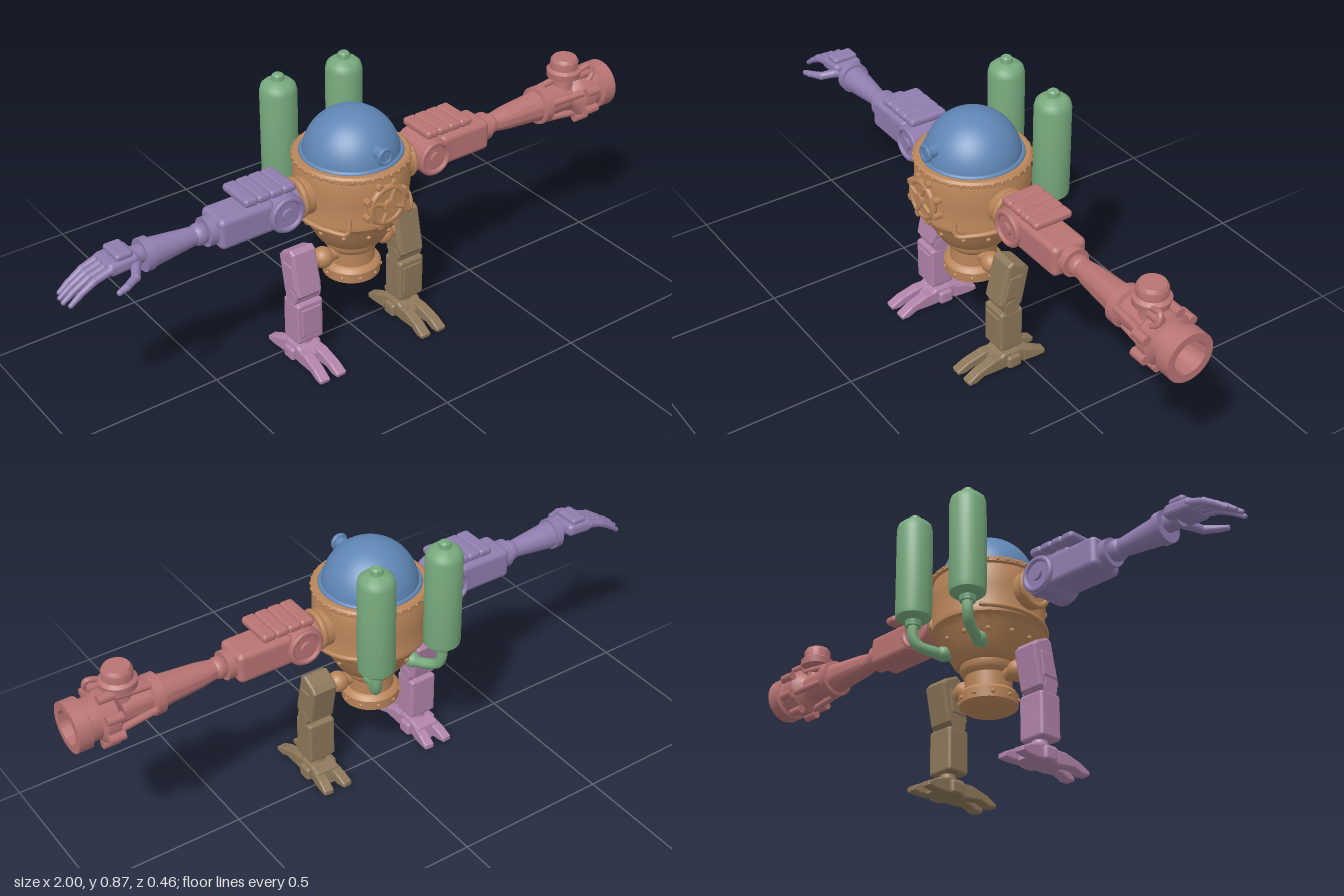
import * as THREE from 'three';
import { toCreasedNormals } from 'three/addons/utils/BufferGeometryUtils.js';
import { RoundedBoxGeometry } from 'three/addons/geometries/RoundedBoxGeometry.js';

const V = (x, y, z) => new THREE.Vector3(x, y, z);
const mat = (color) => new THREE.MeshStandardMaterial({ color });
const BODY = mat(0xb98559), DOME = mat(0x5f86b5), TANK = mat(0x76a87c), GUN = mat(0xb87373);
const HAND = mat(0x8f7cae), LEG_L = mat(0x8c775a), LEG_R = mat(0xb083a8);

function add(parent, name, geo, material, x = 0, y = 0, z = 0) {
  const m = new THREE.Mesh(geo, material);
  m.name = name;
  m.position.set(x, y, z);
  parent.add(m);
  return m;
}
function group(parent, name, x = 0, y = 0, z = 0) {
  const g = new THREE.Group();
  g.name = name;
  g.position.set(x, y, z);
  parent.add(g);
  return g;
}
// Turned solid from [radius, height] pairs, listed upwards
const lathe = (pts, seg = 40) => toCreasedNormals(
  new THREE.LatheGeometry(pts.map(([r, y]) => new THREE.Vector2(r, y)), seg), 0.6);
const box = (w, h, d, r = 0.01) => new RoundedBoxGeometry(w, h, d, 2, r);
const cylZ = (r, d, seg = 28) => new THREE.CylinderGeometry(r, r, d, seg).rotateX(Math.PI / 2);
const cylX = (r, d, seg = 28) => new THREE.CylinderGeometry(r, r, d, seg).rotateZ(Math.PI / 2);
// Tapered rod between two points
function rod(parent, name, material, a, b, ra, rb = ra) {
  const dir = b.clone().sub(a);
  const m = add(parent, name, new THREE.CylinderGeometry(rb, ra, dir.length(), 14), material);
  m.position.copy(a).addScaledVector(dir, 0.5);
  m.quaternion.setFromUnitVectors(V(0, 1, 0), dir.normalize());
  return m;
}
const tube = (pts, r) => new THREE.TubeGeometry(new THREE.CatmullRomCurve3(pts), 32, r, 10);
// Side profile of [z, y] pairs, extruded to a width in x
function slab(pts, width, bevel = 0.008) {
  const g = new THREE.ExtrudeGeometry(new THREE.Shape(pts.map((p) => new THREE.Vector2(...p))), {
    depth: width - 2 * bevel, bevelThickness: bevel, bevelSize: bevel, bevelOffset: -bevel, bevelSegments: 2,
  });
  return g.translate(0, 0, bevel - width / 2).rotateY(-Math.PI / 2);
}

function buildBody(root) {
  const g = group(root, 'body');
  add(g, 'hull', lathe([[0, 0.37], [0.095, 0.37], [0.108, 0.38], [0.13, 0.42], [0.155, 0.46], [0.162, 0.475],
    [0.166, 0.48], [0.174, 0.485], [0.176, 0.50], [0.172, 0.51], [0.178, 0.57], [0.176, 0.63], [0.172, 0.645],
    [0.179, 0.65], [0.179, 0.662], [0.172, 0.668], [0.14, 0.668]], 48), BODY);
  add(g, 'pelvis', lathe([[0, 0.222], [0.05, 0.224], [0.075, 0.232], [0.09, 0.242], [0.092, 0.275], [0.085, 0.285],
    [0.073, 0.29], [0.073, 0.335], [0.082, 0.345], [0.088, 0.355], [0.088, 0.375]]), BODY);
  // Rivets round the rim, the belly and the pelvis
  const rivets = (n, r, y, size) => {
    for (let i = 0; i < n; i++) {
      const a = (i + 0.5) / n * Math.PI * 2;
      add(g, 'rivet', new THREE.SphereGeometry(size, 8, 6), BODY, Math.sin(a) * r, y, Math.cos(a) * r);
    }
  };
  rivets(36, 0.177, 0.657, 0.006);
  rivets(12, 0.143, 0.44, 0.008);
  rivets(10, 0.09, 0.258, 0.007);

  // Round hatch with bolts on the chest
  const hatch = group(g, 'hatch', 0, 0.563, 0.172);
  add(hatch, 'hatchDisc', cylZ(0.058, 0.025), BODY);
  add(hatch, 'hatchRim', new THREE.TorusGeometry(0.058, 0.011, 10, 32), BODY, 0, 0, 0.006);
  add(hatch, 'hatchHub', cylZ(0.022, 0.03), BODY, 0, 0, 0.01);
  for (let i = 0; i < 8; i++) {
    const a = (i + 0.5) * Math.PI / 4;
    add(hatch, 'hatchBolt', cylZ(0.012, 0.03, 8), BODY, Math.cos(a) * 0.07, Math.sin(a) * 0.07, -0.002);
    if (i % 2) rod(hatch, 'hatchSpoke', BODY, V(0, 0, 0.014), V(Math.cos(a) * 0.055, Math.sin(a) * 0.055, 0.014), 0.007);
  }
  for (const s of [-1, 1]) {
    // Hose along the flank, and shoulder socket
    const pts = [V(s * 0.105, 0.525, 0.135)];
    for (let i = 0; i <= 6; i++) {
      const a = 0.7 + i * 0.3;
      pts.push(V(s * Math.sin(a) * 0.179, 0.48 + 0.004 * i, Math.cos(a) * 0.179));
    }
    add(g, 'flankHose', tube(pts, 0.008), BODY);
    add(g, 'shoulderSocket', cylX(0.06, 0.05), BODY, s * 0.178, 0.57, 0);
    add(g, 'shoulderRing', new THREE.TorusGeometry(0.055, 0.01, 8, 28).rotateY(Math.PI / 2), BODY, s * 0.2, 0.57, 0);
    // Hip axle
    rod(g, 'hipAxle', BODY, V(s * 0.06, 0.33, 0.01), V(s * 0.17, 0.33, 0.01), 0.022);
    add(g, 'hipBall', new THREE.SphereGeometry(0.034, 16, 12), BODY, s * 0.115, 0.33, 0.01);
  }
}

function buildDome(root) {
  const g = group(root, 'dome');
  add(g, 'helmet', new THREE.SphereGeometry(0.148, 48, 20, 0, Math.PI * 2, 0, Math.PI / 2), DOME, 0, 0.657, 0);
  add(g, 'helmetRim', new THREE.TorusGeometry(0.15, 0.008, 8, 48).rotateX(Math.PI / 2), DOME, 0, 0.668, 0);
  add(g, 'lampStem', cylZ(0.02, 0.06), DOME, 0, 0.718, 0.135);
  add(g, 'lampRim', new THREE.TorusGeometry(0.022, 0.007, 8, 24), DOME, 0, 0.718, 0.164);
  add(g, 'lampLens', cylZ(0.02, 0.012), DOME, 0, 0.718, 0.162);
}

function buildTank(root, s) {
  const g = group(root, 'airTank');
  add(g, 'cylinder', lathe([[0, 0.485], [0.024, 0.485], [0.026, 0.503], [0.045, 0.506], [0.055, 0.515], [0.057, 0.53],
    [0.057, 0.815], [0.052, 0.834], [0.04, 0.845], [0.02, 0.85], [0.018, 0.865], [0.012, 0.87], [0, 0.87]], 32),
  TANK, s * 0.12, 0, -0.203);
  add(g, 'airPipe', tube([V(s * 0.12, 0.5, -0.203), V(s * 0.12, 0.45, -0.203), V(s * 0.113, 0.425, -0.19),
    V(s * 0.09, 0.41, -0.145), V(s * 0.068, 0.405, -0.09)], 0.017), TANK);
  add(g, 'pipeCollar', new THREE.SphereGeometry(0.024, 14, 10), TANK, s * 0.078, 0.408, -0.115);
}

// Shoulder, armour pad, upper arm and elbow, shared by both arms
function buildUpperArm(g, s, m) {
  add(g, 'shoulderDisc', cylZ(0.06, 0.125), m, s * 0.272, 0.57, 0);
  for (const f of [-1, 1]) {
    add(g, 'discRim', new THREE.TorusGeometry(0.05, 0.009, 8, 28), m, s * 0.272, 0.57, f * 0.062);
    add(g, 'discHub', cylZ(0.02, 0.02), m, s * 0.272, 0.57, f * 0.062);
  }
  add(g, 'shoulderPin', cylX(0.03, 0.06), m, s * 0.215, 0.57, 0);
  add(g, 'padMount', box(0.09, 0.03, 0.06), m, s * 0.32, 0.632, 0);
  for (let i = 0; i < 4; i++) add(g, 'padLobe', box(0.046, 0.026, 0.13, 0.011), m, s * (0.263 + i * 0.043), 0.653, 0);
  add(g, 'upperArm', box(0.19, 0.1, 0.115, 0.018), m, s * 0.4, 0.572, 0);
  add(g, 'elbowCuff', cylX(0.045, 0.04), m, s * 0.5, 0.572, 0);
  add(g, 'elbowBall', new THREE.SphereGeometry(0.034, 18, 12), m, s * 0.535, 0.572, 0);
}

function buildGunArm(root) {
  const g = group(root, 'cannonArm');
  buildUpperArm(g, 1, GUN);
  // Forearm and hollow barrel, turned about the arm's axis
  add(g, 'barrel', lathe([[0, 0.54], [0.028, 0.54], [0.034, 0.575], [0.038, 0.6], [0.046, 0.7], [0.05, 0.73], [0.062, 0.733],
    [0.062, 0.762], [0.048, 0.768], [0.048, 0.86], [0.062, 0.875], [0.078, 0.885], [0.08, 0.925], [0.064, 0.935], [0.064, 0.965],
    [0.077, 0.97], [0.077, 1.015], [0.052, 1.015], [0.045, 0.93], [0.028, 0.93], [0.028, 0.95], [0.016, 0.95], [0.012, 0.925],
    [0, 0.925]], 36).rotateZ(-Math.PI / 2), GUN, 0, 0.573, 0);
  for (let i = 0; i < 8; i++) {
    const a = (i + 0.5) * Math.PI / 4, c = Math.cos(a), n = Math.sin(a);
    add(g, 'barrelLug', cylX(0.015, 0.05, 10), GUN, 0.905, 0.573 + n * 0.084, c * 0.084);
    if (i % 2 === 0) rod(g, 'barrelTube', GUN, V(0.76, 0.573 + n * 0.052, c * 0.052), V(0.9, 0.573 + n * 0.068, c * 0.068), 0.011);
  }
  // Valve on top
  add(g, 'valve', lathe([[0.035, 0.6], [0.03, 0.64], [0.054, 0.65], [0.056, 0.672], [0.045, 0.68], [0.045, 0.705],
    [0.038, 0.716], [0, 0.716]], 28), GUN, 0.848, 0, 0);
  add(g, 'valveHose', tube([V(0.88, 0.665, 0.03), V(0.925, 0.675, 0.035), V(0.93, 0.65, 0.045), V(0.91, 0.63, 0.05)], 0.009), GUN);
}

function buildHandArm(root) {
  const g = group(root, 'handArm');
  buildUpperArm(g, -1, HAND);
  const fore = new THREE.CylinderGeometry(0.046, 0.027, 0.17, 20).rotateZ(Math.PI / 2);
  add(g, 'forearm', fore, HAND, -0.63, 0.573, 0);
  add(g, 'wristCuff', cylX(0.05, 0.025), HAND, -0.712, 0.575, 0);
  add(g, 'wrist', cylX(0.028, 0.06), HAND, -0.745, 0.583, 0);
  add(g, 'palm', box(0.1, 0.042, 0.1, 0.016), HAND, -0.795, 0.588, -0.005).rotation.z = 0.06;
  add(g, 'handGuard', box(0.055, 0.022, 0.085), HAND, -0.79, 0.615, -0.005);
  const finger = (name, pts, r) => pts.forEach((p, i) => {
    add(g, name + 'Joint', new THREE.SphereGeometry(r * (1.1 - i * 0.17), 12, 8), HAND, p.x, p.y, p.z);
    if (i) rod(g, name, HAND, pts[i - 1], p, r * (1.12 - i * 0.12), r * (1 - i * 0.15));
  });
  [0.93, 1, 0.98, 0.9].forEach((k, i) => {
    const z = 0.032 - i * 0.025, x = (d) => -0.835 - d * k;
    finger('finger', [V(x(0), 0.587, z), V(x(0.055), 0.572, z), V(x(0.105), 0.545, z), V(x(0.138), 0.522, z)], 0.013);
  });
  finger('thumb', [V(-0.76, 0.58, 0.035), V(-0.785, 0.57, 0.08), V(-0.825, 0.565, 0.1), V(-0.85, 0.56, 0.105)], 0.015);
}

function buildLeg(root, s, m) {
  const g = group(root, s > 0 ? 'leftLeg' : 'rightLeg', s * 0.195, 0, 0);
  add(g, 'thigh', slab([[0.06, 0.255], [0.03, 0.39], [0.012, 0.4], [-0.012, 0.388], [-0.03, 0.38], [-0.045, 0.362],
    [-0.02, 0.24], [0.0, 0.225], [0.045, 0.235]], 0.086), m);
  add(g, 'thighPlate', slab([[0.05, 0.27], [0.028, 0.35], [-0.02, 0.35], [-0.01, 0.27]], 0.094, 0.005), m);
  add(g, 'knee', cylX(0.026, 0.092), m, 0, 0.237, 0.02);
  add(g, 'shin', box(0.094, 0.145, 0.081, 0.01), m, 0, 0.151, 0.019);
  add(g, 'shinPlate', box(0.07, 0.1, 0.012, 0.005), m, 0, 0.155, 0.058);
  add(g, 'ankle', new THREE.CylinderGeometry(0.022, 0.03, 0.04, 16), m, 0, 0.066, 0.015);
  // Foot: instep, two front toes, two heel claws
  add(g, 'instep', slab([[0.08, 0.005], [0.078, 0.04], [0.04, 0.06], [-0.01, 0.06], [-0.05, 0.05], [-0.06, 0.005]], 0.085), m);
  add(g, 'footBlock', box(0.112, 0.045, 0.05), m, 0, 0.027, 0.01);
  for (const f of [-1, 1]) {
    const toe = add(g, 'toe', slab([[0.05, 0.006], [0.12, 0.012], [0.15, 0], [0.176, 0.002], [0.179, 0.014],
      [0.14, 0.035], [0.08, 0.052], [0.05, 0.052]], 0.036, 0.005), m, f * 0.022, 0, 0);
    toe.rotation.y = f * 0.05;
    const claw = add(g, 'heelClaw', slab([[-0.03, 0.004], [-0.03, 0.05], [-0.07, 0.04], [-0.107, 0.022],
      [-0.107, 0.008], [-0.08, 0.004]], 0.034, 0.005), m, f * 0.024, 0, 0);
    claw.rotation.y = -f * 0.1;
  }
}

export function createModel() {
  const model = new THREE.Group();
  model.name = 'divingRobot';
  const root = group(model, 'robot', -0.017, 0, 0.035);
  buildBody(root);
  buildDome(root);
  for (const s of [-1, 1]) {
    buildTank(root, s);
    buildLeg(root, s, s > 0 ? LEG_L : LEG_R);
  }
  buildGunArm(root);
  buildHandArm(root);
  return model;
}
